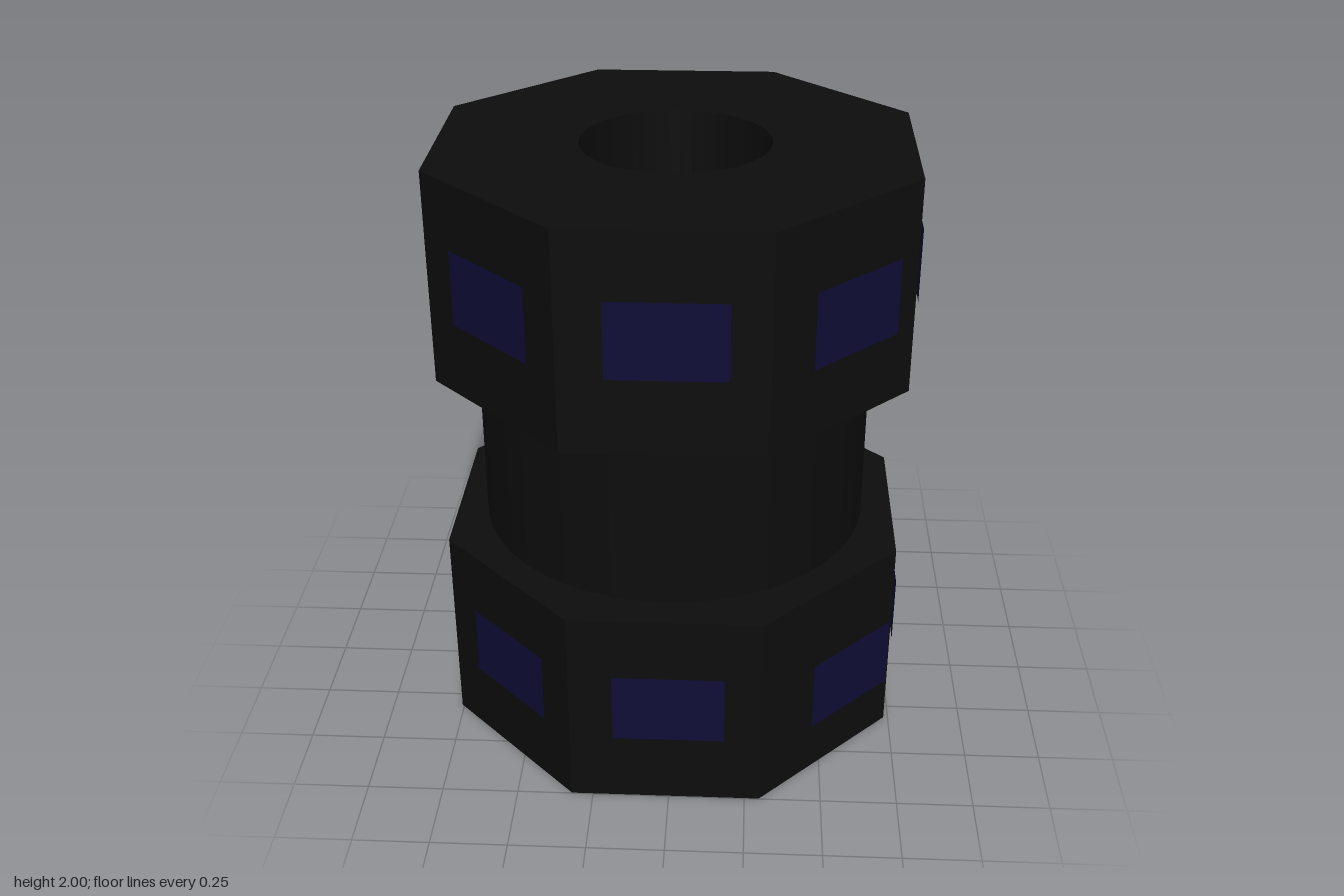
import * as THREE from 'three';

const bodyMat = new THREE.MeshStandardMaterial({ color: 0x0d0d0d });
bodyMat.name = 'black body';
const panelMat = new THREE.MeshStandardMaterial({ color: 0x0f0d36, side: THREE.DoubleSide });
panelMat.name = 'navy panel';

const HOLE = 0.303;

// Upright ring: an outline with the central bore, from y0 to y1
function bored(name, shape, y0, y1, x, z) {
  const bore = new THREE.Path();
  bore.absarc(-0.01 - x, 0, HOLE, 0, Math.PI * 2, true);
  shape.holes.push(bore);
  const geo = new THREE.ExtrudeGeometry(shape, { depth: y1 - y0, bevelEnabled: false, curveSegments: 24 });
  geo.rotateX(-Math.PI / 2);
  const mesh = new THREE.Mesh(geo, bodyMat);
  mesh.name = name;
  mesh.position.set(x, y0, z);
  return mesh;
}

function octagon(apothem) {
  const r = apothem / Math.cos(Math.PI / 8);
  const pts = [];
  for (let i = 0; i < 8; i++) {
    const a = (i + 0.5) * Math.PI / 4;
    pts.push(new THREE.Vector2(r * Math.cos(a), r * Math.sin(a)));
  }
  return new THREE.Shape(pts);
}

function disc(radius) {
  const s = new THREE.Shape();
  s.absarc(0, 0, radius, 0, Math.PI * 2, false);
  return s;
}

export function createModel() {
  const model = new THREE.Group();
  model.name = 'octagonalSpool';

  // Two octagonal blocks joined by a round core
  model.add(bored('lowerBlock', octagon(0.746), 0, 0.7, -0.011, 0.002));
  model.add(bored('upperBlock', octagon(0.746), 1.3, 2, -0.011, 0.002));
  model.add(bored('core', disc(0.65), 0.7, 1.3, -0.016, -0.01));

  // One panel in front of each side of both blocks
  const panelGeo = new THREE.PlaneGeometry(0.36, 0.243);
  for (const [row, y] of [['lower', 0.367], ['upper', 1.669]]) {
    for (let i = 0; i < 8; i++) {
      const a = i * Math.PI / 4;
      const dist = i % 2 ? 0.769 : 0.758;
      const panel = new THREE.Mesh(panelGeo, panelMat);
      panel.name = `${row}Panel${i + 1}`;
      panel.position.set(dist * Math.sin(a) + (i % 2 ? 0.005 : 0), y, dist * Math.cos(a));
      panel.rotation.y = a;
      // The lower front panel on the +x side stands further out
      if (row === 'lower' && i === 1) panel.position.x += 0.043;
      model.add(panel);
    }
  }
  return model;
}
